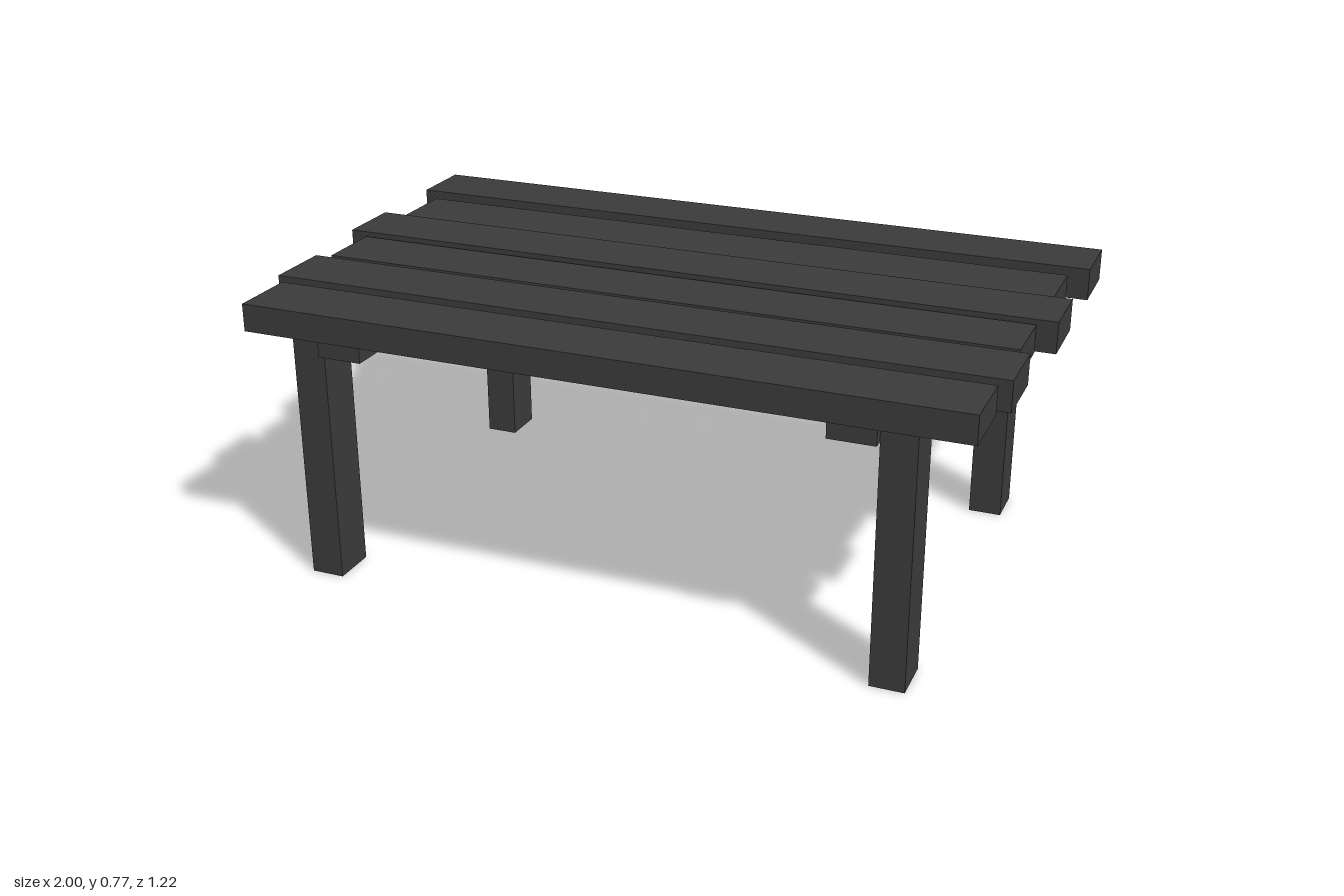
import * as THREE from 'three';

export function createModel() {
  const table = new THREE.Group();
  table.name = 'slattedTable';
  const material = new THREE.MeshStandardMaterial({ color: 0x3a3a3a, flatShading: true });

  // Box given by its extents along each axis
  function addBox(name, [x0, x1], [y0, y1], [z0, z1]) {
    const mesh = new THREE.Mesh(new THREE.BoxGeometry(x1 - x0, y1 - y0, z1 - z0), material);
    mesh.position.set((x0 + x1) / 2, (y0 + y1) / 2, (z0 + z1) / 2);
    mesh.name = name;
    table.add(mesh);
  }

  const plankBottom = 0.686;

  // Uneven top planks, back to front: centre z, half length, top height
  const planks = [
    [-0.519, 1.0, 0.772],
    [-0.304, 0.948, 0.76],
    [-0.094, 1.0, 0.77],
    [0.099, 0.948, 0.76],
    [0.311, 0.977, 0.766],
    [0.519, 0.948, 0.76],
  ];
  planks.forEach(([z, half, top], i) =>
    addBox(`plank${i + 1}`, [-half, half], [plankBottom, top], [z - 0.091, z + 0.091]));

  // Cross beams with a leg at each end, on the outer side of the beam
  const ends = [
    { side: 'Right', leg: [-0.832, -0.742], beam: [-0.742, -0.622] },
    { side: 'Left', leg: [0.718, 0.808], beam: [0.598, 0.718] },
  ];
  for (const { side, leg, beam } of ends) {
    addBox(`crossBeam${side}`, beam, [0.64, plankBottom], [-0.596, 0.596]);
    addBox(`frontLeg${side}`, leg, [0, plankBottom], [0.45, 0.57]);
    addBox(`backLeg${side}`, leg, [0, plankBottom], [-0.57, -0.45]);
  }

  return table;
}
